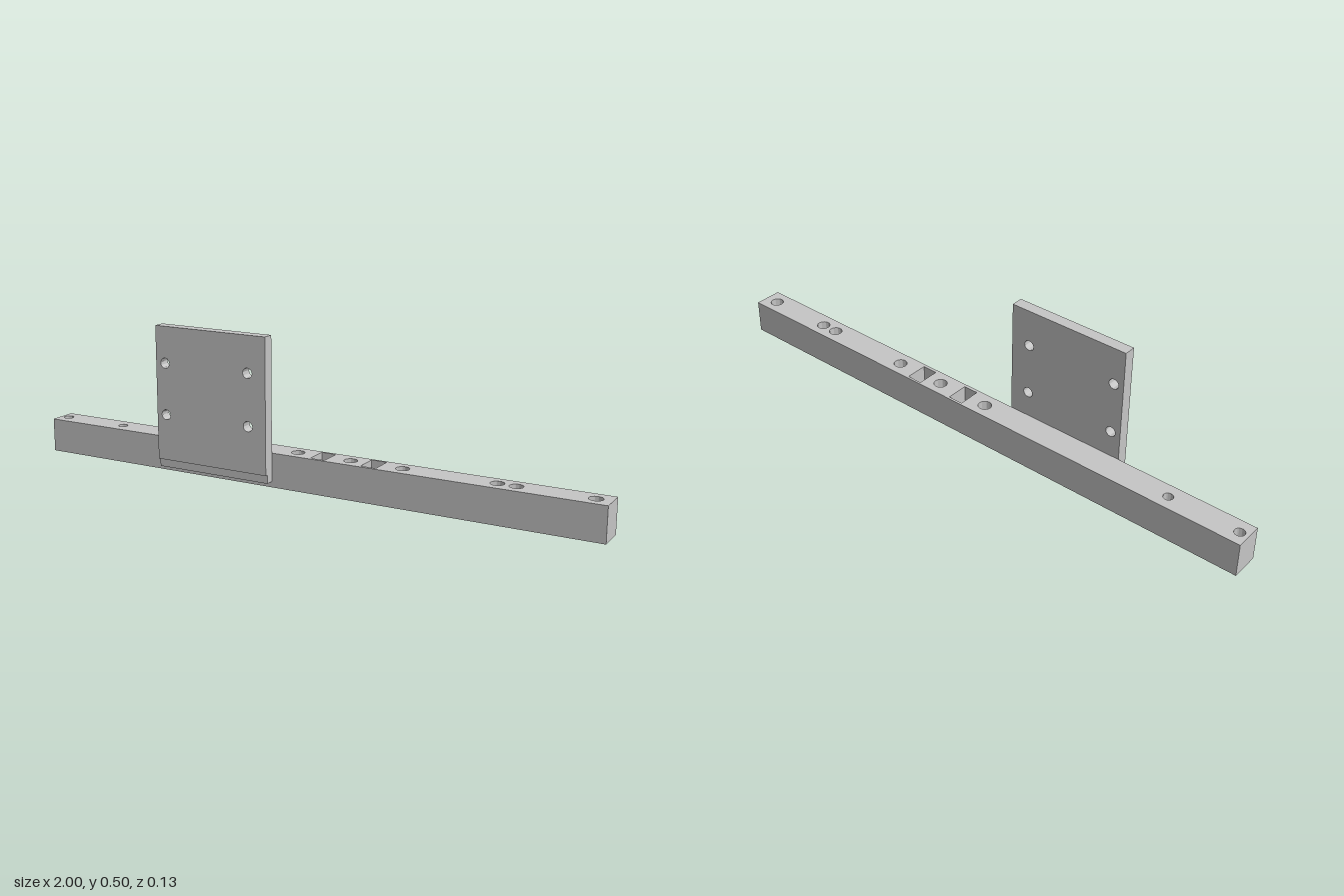
import * as THREE from 'three';
import { toCreasedNormals } from 'three/addons/utils/BufferGeometryUtils.js';

const metal = new THREE.MeshStandardMaterial({ color: 0xc5c5c5 });
metal.name = 'light grey metal';

function rectPath(Type, x0, y0, x1, y1) {
  const p = new Type();
  p.moveTo(x0, y0);
  p.lineTo(x1, y0);
  p.lineTo(x1, y1);
  p.lineTo(x0, y1);
  p.closePath();
  return p;
}

function circleHole(x, y, r) {
  return new THREE.Path().absarc(x, y, r, 0, Math.PI * 2, true);
}

function extrude(shape, depth) {
  return new THREE.ExtrudeGeometry(shape, { depth, bevelEnabled: false, curveSegments: 32 });
}

function addMesh(group, name, geo) {
  const mesh = new THREE.Mesh(toCreasedNormals(geo, 0.6), metal);
  mesh.name = name;
  group.add(mesh);
}

// Vertical bores through the bar: [x, radius, radius at the underside]
const BORES = [
  [-0.97, 0.017, 0.017], [-0.73, 0.016, 0.016], [-0.03, 0.022, 0.022], [0.16, 0.022, 0.022],
  [0.34, 0.022, 0.042], [0.65, 0.022, 0.037], [0.71, 0.022, 0.022], [0.95, 0.022, 0.022],
];
const BORE_Z = -0.02;

// One horizontal layer of the bar, from y0 to y1
function barLayer(y0, y1, radiusIndex, pockets) {
  const shape = rectPath(THREE.Shape, -1, -0.028, 1, 0.067);
  for (const bore of BORES) shape.holes.push(circleHole(bore[0], -BORE_Z, bore[radiusIndex]));
  for (const [x0, x1] of pockets) shape.holes.push(rectPath(THREE.Path, x0, -0.017, x1, 0.059));
  return extrude(shape, y1 - y0).rotateX(-Math.PI / 2).translate(0, y0, 0);
}

// Bottom layer: wide bores taper inward to their upper radius
function countersunkLayer(height) {
  const geo = barLayer(0, height, 2, []);
  const pos = geo.attributes.position;
  for (let i = 0; i < pos.count; i++) {
    if (pos.getY(i) < height / 2) continue;
    for (const [x, r, wide] of BORES) {
      const dx = pos.getX(i) - x, dz = pos.getZ(i) - BORE_Z;
      if (Math.abs(Math.hypot(dx, dz) - wide) > 1e-4) continue;
      pos.setX(i, x + dx * r / wide);
      pos.setZ(i, BORE_Z + dz * r / wide);
      break;
    }
  }
  return geo;
}

export function createModel() {
  const model = new THREE.Group();
  model.name = 'drilled bar with mounting plate';

  // Bar: countersunk underside, plain middle, pocketed top
  const bar = new THREE.Group();
  bar.name = 'bar';
  addMesh(bar, 'countersunkBase', countersunkLayer(0.02));
  addMesh(bar, 'barCore', barLayer(0.02, 0.055, 1, []));
  addMesh(bar, 'pocketedTop', barLayer(0.055, 0.115, 1, [[0.035, 0.087], [0.214, 0.267]]));
  model.add(bar);

  // Upright plate with four bolt holes
  const plate = rectPath(THREE.Shape, -0.518, 0.048, -0.10, 0.5);
  for (const x of [-0.483, -0.166])
    for (const y of [0.203, 0.377]) plate.holes.push(circleHole(x, y, 0.017));
  addMesh(model, 'mountingPlate', extrude(plate, 0.039).translate(0, 0, 0.028));

  // Recessed lip along the plate's lower edge
  addMesh(model, 'plateLip', new THREE.BoxGeometry(0.418, 0.028, 0.03).translate(-0.309, 0.034, 0.043));

  return model;
}
